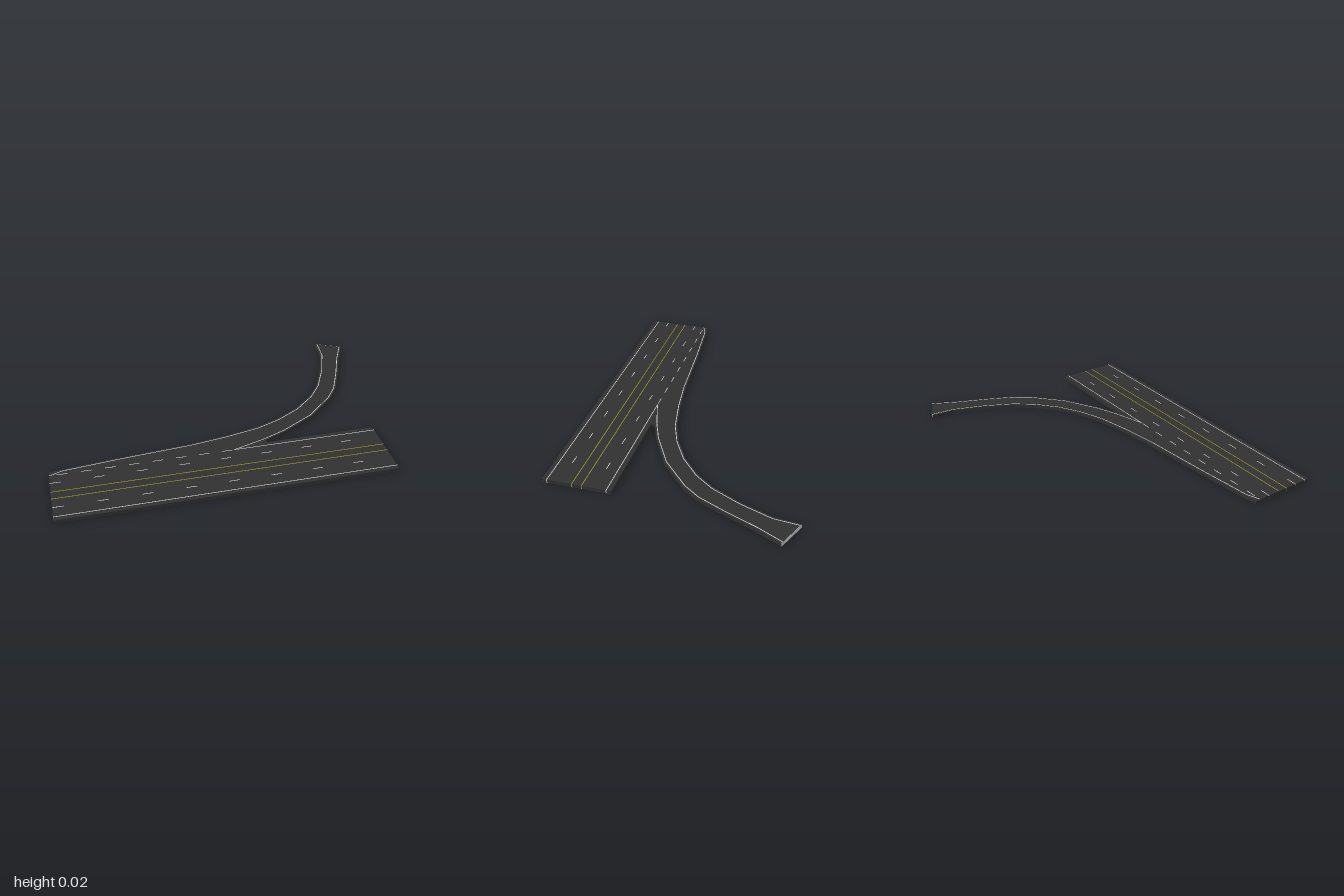
import * as THREE from 'three';

const TOP = 0.0205, SKIN = 0.0004, LINE = 0.0045;

// Outer and inner edges of the exit ramp, as [x, z]
const OUTER = [[-1, 0.3], [-0.93, 0.289], [-0.61, 0.255], [-0.21, 0.221], [0, 0.19], [0.2, 0.148],
  [0.34, 0.094], [0.48, 0.013], [0.6, -0.093], [0.68, -0.198], [0.76, -0.363], [0.825, -0.543], [0.838, -0.687]];
const INNER = [[0.215, 0.279], [0.345, 0.226], [0.545, 0.113], [0.715, -0.043], [0.785, -0.138],
  [0.86, -0.303], [0.93, -0.478], [0.998, -0.617]];

// Vertical prism over an outline given in x, z
function prism(outline, y0, y1) {
  const shape = new THREE.Shape(outline.map(([x, z]) => new THREE.Vector2(x, -z)));
  const geo = new THREE.ExtrudeGeometry(shape, { depth: y1 - y0, bevelEnabled: false });
  return geo.rotateX(-Math.PI / 2).translate(0, y0, 0);
}

// Polyline shifted sideways by d
function offset(path, d) {
  return path.map(([x, z], i) => {
    const a = path[Math.max(i - 1, 0)], b = path[Math.min(i + 1, path.length - 1)];
    const dx = b[0] - a[0], dz = b[1] - a[1], l = Math.hypot(dx, dz);
    return [x - (dz / l) * d, z + (dx / l) * d];
  });
}

export function createModel() {
  const model = new THREE.Group();
  const asphalt = new THREE.MeshStandardMaterial({ color: 0x303030 });
  const white = new THREE.MeshStandardMaterial({ color: 0xcccccc });
  const yellow = new THREE.MeshStandardMaterial({ color: 0x9a9a20 });

  const add = (name, geo, mat) => {
    const mesh = new THREE.Mesh(geo, mat);
    mesh.name = name;
    model.add(mesh);
  };
  const strip = (name, x0, x1, z, mat) => {
    const h = TOP + 2 * SKIN;
    add(name, new THREE.BoxGeometry(x1 - x0, h, LINE).translate((x0 + x1) / 2, h / 2, z), mat);
  };
  const ribbon = (name, path) => add(name,
    prism([...offset(path, LINE / 2), ...offset(path, -LINE / 2).reverse()], 0, TOP + 2 * SKIN), white);
  const dashes = (name, start, end, pitch, length, z) => {
    for (let x = start; x < end; x += pitch) strip(name, x, Math.min(x + length, end), z, white);
  };

  // Road slab: main carriageway and curving exit ramp in one outline
  add('roadSlab', prism([...OUTER, ...[...INNER].reverse(),
    [0.215, 0.3], [0.85, 0.3], [0.85, 0.687], [-1, 0.687]], SKIN, TOP + SKIN), asphalt);

  // Pale cut face at the end of the ramp
  const a = OUTER.at(-1), b = INNER.at(-1);
  add('rampEndFace', prism([a, b, [b[0] + 0.0005, b[1] - 0.001], [a[0] + 0.0005, a[1] - 0.001]],
    SKIN, TOP + SKIN), white);

  // Main road lines
  strip('centreLine', -1, 0.8505, 0.465, yellow);
  strip('centreLine', -1, 0.8505, 0.52, yellow);
  strip('nearEdgeLine', -1, 0.8505, 0.66, white);
  strip('farEdgeLine', 0.02, 0.8505, 0.328, white);

  // Broken lines between lanes and along the exit
  for (const z of [0.392, 0.588]) dashes('laneDash', -1, 0.8, 0.232, 0.058, z);
  dashes('exitDash', -0.96, 0.02, 0.13, 0.058, 0.328);

  // Ramp edge lines, set in from the kerbs
  const outerLine = offset(OUTER, 0.012).slice(1, -1);
  ribbon('rampOuterLine', [[-0.998, 0.328], ...outerLine, [0.85, -0.682]]);
  ribbon('rampInnerLine', [[0.02, 0.328], ...offset(INNER, -0.012)]);

  return model;
}
